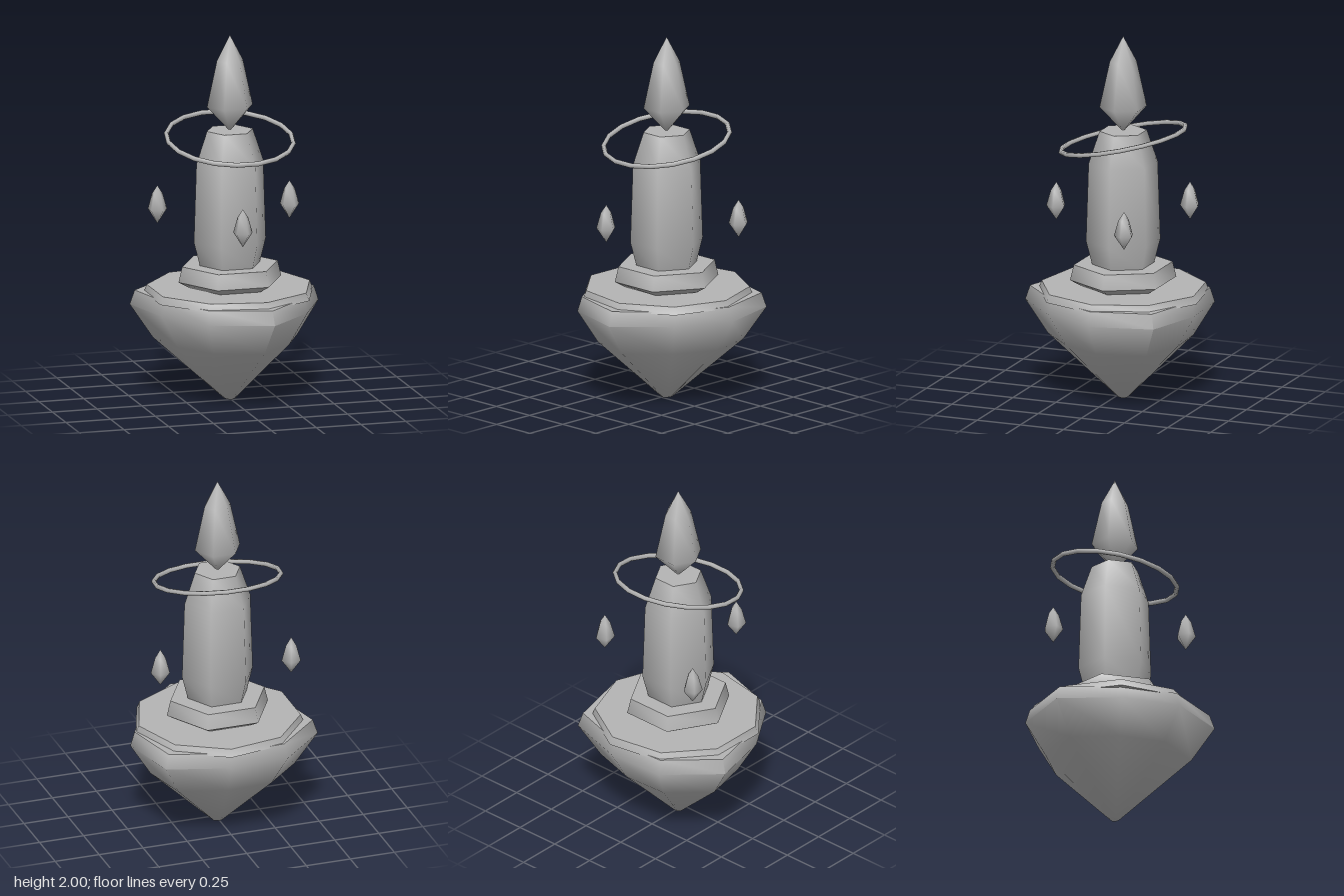
import * as THREE from 'three';
import { toCreasedNormals } from 'three/addons/utils/BufferGeometryUtils.js';

const stone = new THREE.MeshStandardMaterial({ color: 0xb4b4b4 });
stone.name = 'grey stone';

// Faceted solid from a bottom-to-top [radius, height] profile, one corner on +x
function turned(name, profile, sides, crease, shape) {
  const points = profile.map(([r, y]) => new THREE.Vector2(r, y));
  const geometry = new THREE.LatheGeometry(points, sides, Math.PI / 2);
  if (shape) shape(geometry.attributes.position);
  const mesh = new THREE.Mesh(toCreasedNormals(geometry, crease), stone);
  mesh.name = name;
  return mesh;
}

// Rule that makes the rock uneven: three radii repeat around its nine corners
function unevenRock(pos) {
  const factors = [0.99, 0.905, 1.075];
  for (let i = 0; i < pos.count; i++) {
    const x = pos.getX(i), z = pos.getZ(i);
    const corner = Math.round(Math.atan2(z, x) / (Math.PI * 2 / 9)) + 9;
    const f = factors[corner % 3];
    pos.setXYZ(i, x * f, pos.getY(i), z * f);
  }
}

export function createModel() {
  const model = new THREE.Group();
  model.name = 'floatingCrystalTower';

  // Everything but the shards shares one slightly offset axis
  const tower = new THREE.Group();
  tower.name = 'tower';
  tower.position.set(0.003, 0, -0.037);
  model.add(tower);

  // Floating rock and the ground slab on it
  tower.add(turned('rock',
    [[0, 0], [0.03, 0], [0.385, 0.33], [0.5, 0.51], [0.475, 0.588], [0, 0.588]], 9, 1.1, unevenRock));
  tower.add(turned('groundSlab',
    [[0, 0.578], [0.463, 0.578], [0.446, 0.62], [0, 0.62]], 9, 0.8));

  // Plinth and column
  tower.add(turned('plinth',
    [[0, 0.62], [0.225, 0.62], [0.287, 0.656], [0.267, 0.74], [0, 0.74]], 6, 1.15));
  tower.add(turned('column',
    [[0, 0.74], [0.168, 0.74], [0.201, 0.87], [0.187, 1.3], [0.128, 1.476], [0, 1.476]], 6, 1.15));

  // Crystal on top
  tower.add(turned('topCrystal',
    [[0, 1.47], [0.128, 1.61], [0.073, 1.86], [0, 2]], 6, 2));

  // Tilted ring
  const ring = new THREE.Mesh(new THREE.TorusGeometry(0.342, 0.013, 6, 18), stone);
  ring.name = 'ring';
  ring.rotation.x = Math.PI / 2 + THREE.MathUtils.degToRad(12);
  ring.position.y = 1.43;
  tower.add(ring);

  // Three small hovering shards
  for (const [x, z] of [[-0.327, -0.288], [0.385, -0.2], [-0.047, 0.371]]) {
    const shard = turned('shard', [[0, 0.927], [0.054, 1.005], [0.03, 1.09], [0, 1.136]], 5, 2);
    shard.position.set(x, 0, z);
    model.add(shard);
  }
  return model;
}
